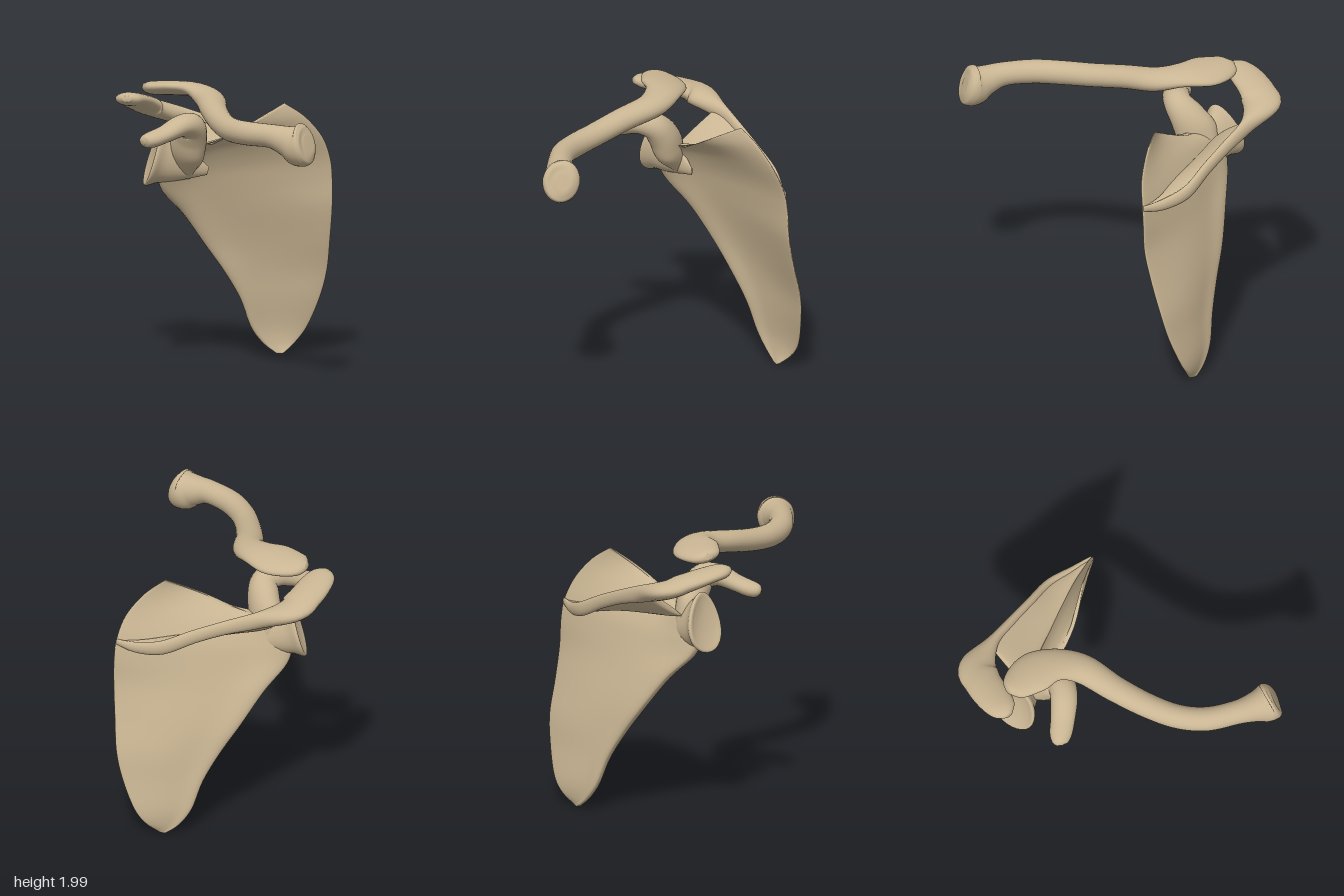
import * as THREE from 'three';

const V = (x, y, z) => new THREE.Vector3(x, y, z);

// Smooth interpolation of rows of numbers (Catmull-Rom per column)
function resample(rows, steps) {
  const out = [], last = rows.length - 1;
  const at = i => rows[Math.min(last, Math.max(0, i))];
  for (let i = 0; i < last; i++) {
    for (let s = 0; s < steps; s++) {
      const t = s / steps;
      out.push(rows[i].map((_, k) => {
        const a = at(i - 1)[k], b = at(i)[k], c = at(i + 1)[k], d = at(i + 2)[k];
        return b + 0.5 * t * (c - a + t * (2 * a - 5 * b + 4 * c - d + t * (3 * (b - c) + d - a)));
      }));
    }
  }
  out.push(rows[last]);
  return out;
}

// Closed skin over a list of equal-length loops, capped at both ends
function loft(loops) {
  const n = loops[0].length, pos = [], idx = [];
  loops.forEach(l => l.forEach(p => pos.push(p.x, p.y, p.z)));
  for (let i = 0; i < loops.length - 1; i++) {
    for (let j = 0; j < n; j++) {
      const a = i * n + j, b = i * n + (j + 1) % n;
      idx.push(a, b, a + n, b, b + n, a + n);
    }
  }
  [0, loops.length - 1].forEach((r, end) => {
    const c = V(0, 0, 0), ci = pos.length / 3;
    loops[r].forEach(p => c.addScaledVector(p, 1 / n));
    pos.push(c.x, c.y, c.z);
    for (let j = 0; j < n; j++) {
      const a = r * n + j, b = r * n + (j + 1) % n;
      if (end) idx.push(a, b, ci); else idx.push(b, a, ci);
    }
  });
  // turn the skin outward if its enclosed volume is negative
  let volume = 0;
  const p = i => V(pos[3 * i], pos[3 * i + 1], pos[3 * i + 2]);
  for (let i = 0; i < idx.length; i += 3) volume += p(idx[i]).dot(p(idx[i + 1]).cross(p(idx[i + 2])));
  if (volume < 0) idx.reverse();
  const g = new THREE.BufferGeometry();
  g.setAttribute('position', new THREE.Float32BufferAttribute(pos, 3));
  g.setIndex(idx);
  g.computeVertexNormals();
  return g;
}

// Elliptical loop; pear narrows it towards +v
function ring(c, u, v, pear = 0, n = 28) {
  return Array.from({ length: n }, (_, j) => {
    const t = j / n * Math.PI * 2, s = Math.sin(t);
    return c.clone().addScaledVector(u, Math.cos(t) * (1 - pear * s)).addScaledVector(v, s);
  });
}

// Bone shaft along rows of [x, y, z, side radius, radius along ref]
function shaft(rows, ref) {
  const r = resample(rows, 6), c = r.map(q => V(q[0], q[1], q[2]));
  return loft(r.map((q, i) => {
    const t = c[Math.min(i + 1, c.length - 1)].clone().sub(c[Math.max(i - 1, 0)]).normalize();
    const side = t.clone().cross(ref).normalize();
    const up = side.clone().cross(t);
    return ring(c[i], side.multiplyScalar(Math.max(q[3], 0.006)), up.multiplyScalar(Math.max(q[4], 0.006)));
  }));
}

export function createModel() {
  const group = new THREE.Group();
  const bone = new THREE.MeshStandardMaterial({ color: 0xc9b593 });
  bone.name = 'bone';
  const add = (name, geometry) => {
    const m = new THREE.Mesh(geometry, bone);
    m.name = name;
    group.add(m);
  };
  const up = V(0, 1, 0);

  // Collarbone: flat outer end, S-shaped shaft, flared inner end
  add('collarbone', shaft([
    [-0.725, 1.945, -0.05, 0.03, 0.02],
    [-0.67, 1.935, -0.06, 0.11, 0.045],
    [-0.5, 1.94, -0.085, 0.16, 0.05],
    [-0.33, 1.94, -0.06, 0.125, 0.052],
    [-0.18, 1.895, 0.045, 0.11, 0.075],
    [-0.05, 1.85, 0.26, 0.095, 0.078],
    [0.1, 1.805, 0.47, 0.088, 0.08],
    [0.25, 1.785, 0.635, 0.085, 0.083],
    [0.42, 1.785, 0.745, 0.085, 0.083],
    [0.62, 1.785, 0.8, 0.085, 0.083],
    [0.75, 1.76, 0.817, 0.105, 0.108],
    [0.83, 1.738, 0.822, 0.128, 0.143],
    [0.875, 1.743, 0.823, 0.128, 0.15],
    [0.903, 1.75, 0.825, 0.105, 0.125],
    [0.913, 1.753, 0.827, 0.05, 0.06],
  ], V(0, 1, -0.2).normalize()));

  // Shoulder blade plate: outer edge xyz, inner edge xyz, backward bow, outer edge thickness
  const plate = resample([
    [-0.05, 0.01, -0.81, 0.0, 0.01, -0.82, 0, 0.01],
    [-0.13, 0.08, -0.765, 0.06, 0.09, -0.9, 0, 0.02],
    [-0.2, 0.2, -0.71, 0.13, 0.2, -0.94, 0.01, 0.03],
    [-0.25, 0.4, -0.645, 0.22, 0.4, -0.945, 0.02, 0.035],
    [-0.33, 0.6, -0.55, 0.28, 0.6, -0.935, 0.035, 0.04],
    [-0.43, 0.8, -0.44, 0.325, 0.83, -0.885, 0.045, 0.045],
    [-0.53, 1.03, -0.29, 0.36, 1.06, -0.845, 0.05, 0.05],
    [-0.62, 1.21, -0.13, 0.365, 1.25, -0.835, 0.055, 0.06],
    [-0.61, 1.35, -0.08, 0.36, 1.4, -0.81, 0.05, 0.08],
    [-0.52, 1.47, -0.11, 0.33, 1.56, -0.74, 0.02, 0.075],
    [-0.38, 1.53, -0.16, 0.24, 1.71, -0.64, -0.02, 0.03],
    [-0.27, 1.54, -0.2, 0.13, 1.81, -0.54, -0.04, 0.005],
  ], 5);
  add('shoulderBlade', loft(plate.map((q, i) => {
    const a = V(q[0], q[1], q[2]), b = V(q[3], q[4], q[5]);
    const across = b.clone().sub(a);
    const back = across.clone().cross(up).normalize();
    if (back.z > 0) back.negate();
    const thin = Math.min(1, 0.3 + (plate.length - 1 - i) / 6);
    return Array.from({ length: 56 }, (_, k) => {
      const t = k / 56 * Math.PI * 2, u = 0.5 - 0.5 * Math.cos(t), s = Math.sin(t);
      const half = (0.016 + q[7] * Math.exp(-((u / 0.16) ** 2))) * thin;
      const off = q[6] * Math.sin(Math.PI * u) + half * Math.sign(s) * Math.sqrt(Math.abs(s));
      return a.clone().addScaledVector(across, u).addScaledVector(back, off);
    });
  })));

  // Shoulder socket: neck, pear-shaped rim and shallow hollow
  const out = V(-0.84, 0.28, 0.5).normalize();
  const lean = V(0.3, 0.95, 0);
  const tall = lean.clone().addScaledVector(out, -lean.dot(out)).normalize();
  const wide = tall.clone().cross(out).normalize();
  const rim = V(-0.655, 1.455, -0.06);
  const socket = [
    [-0.4, 0.01, 0.03], [-0.26, 0.055, 0.1], [-0.15, 0.085, 0.15], [-0.07, 0.11, 0.178], [-0.02, 0.142, 0.208],
    [0.0, 0.145, 0.212], [0.008, 0.132, 0.2], [-0.004, 0.1, 0.15], [-0.015, 0.05, 0.08], [-0.018, 0.01, 0.015],
  ];
  add('shoulderSocket', loft(resample(socket, 3).map(([d, w, h]) => ring(
    rim.clone().addScaledVector(out, d),
    wide.clone().multiplyScalar(w), tall.clone().multiplyScalar(h), 0.25))));

  // Hooked prong reaching forward below the collarbone
  add('hookedProng', shaft([
    [-0.46, 1.3, -0.2, 0.02, 0.03],
    [-0.45, 1.4, -0.16, 0.07, 0.1],
    [-0.42, 1.5, -0.11, 0.1, 0.145],
    [-0.37, 1.61, -0.06, 0.105, 0.125],
    [-0.335, 1.69, 0.01, 0.095, 0.1],
    [-0.37, 1.705, 0.11, 0.075, 0.095],
    [-0.44, 1.66, 0.22, 0.058, 0.085],
    [-0.5, 1.63, 0.3, 0.056, 0.078],
    [-0.535, 1.62, 0.35, 0.044, 0.055],
    [-0.545, 1.615, 0.37, 0.015, 0.02],
  ], V(0.9, 0, 0.45).normalize()));

  // Ridge crest along the back, widening into the shoulder tip
  add('ridgeAndShoulderTip', shaft([
    [0.355, 1.385, -0.815, 0.01, 0.02],
    [0.2, 1.375, -0.8, 0.025, 0.04],
    [0, 1.42, -0.78, 0.028, 0.05],
    [-0.2, 1.52, -0.69, 0.028, 0.048],
    [-0.4, 1.605, -0.6, 0.03, 0.05],
    [-0.6, 1.675, -0.505, 0.045, 0.06],
    [-0.785, 1.745, -0.37, 0.135, 0.065],
    [-0.82, 1.795, -0.24, 0.13, 0.06],
    [-0.815, 1.84, -0.08, 0.12, 0.05],
    [-0.8, 1.86, 0.03, 0.09, 0.045],
    [-0.79, 1.868, 0.085, 0.03, 0.02],
  ], up));

  // Sheet joining the crest to the back of the plate: crest xyz, base xyz, half thickness
  const sheet = resample([
    [0.34, 1.385, -0.81, 0.33, 1.38, -0.8, 0.012],
    [0.2, 1.38, -0.8, 0.17, 1.4, -0.715, 0.025],
    [0, 1.42, -0.78, 0.02, 1.42, -0.595, 0.028],
    [-0.2, 1.52, -0.69, -0.16, 1.44, -0.47, 0.028],
    [-0.4, 1.605, -0.6, -0.33, 1.455, -0.345, 0.03],
    [-0.54, 1.655, -0.53, -0.46, 1.47, -0.25, 0.035],
    [-0.61, 1.68, -0.48, -0.52, 1.48, -0.21, 0.025],
    [-0.625, 1.685, -0.46, -0.53, 1.485, -0.2, 0.006],
  ], 5);
  add('ridgeSheet', loft(sheet.map(q => {
    const a = V(q[0], q[1], q[2]), b = V(q[3], q[4], q[5]);
    const half = a.clone().sub(b).multiplyScalar(0.52);
    const normal = half.clone().cross(V(-0.82, 0.2, 0.5)).normalize();
    return ring(a.add(b).multiplyScalar(0.5), half, normal.multiplyScalar(q[6]));
  })));

  return group;
}
